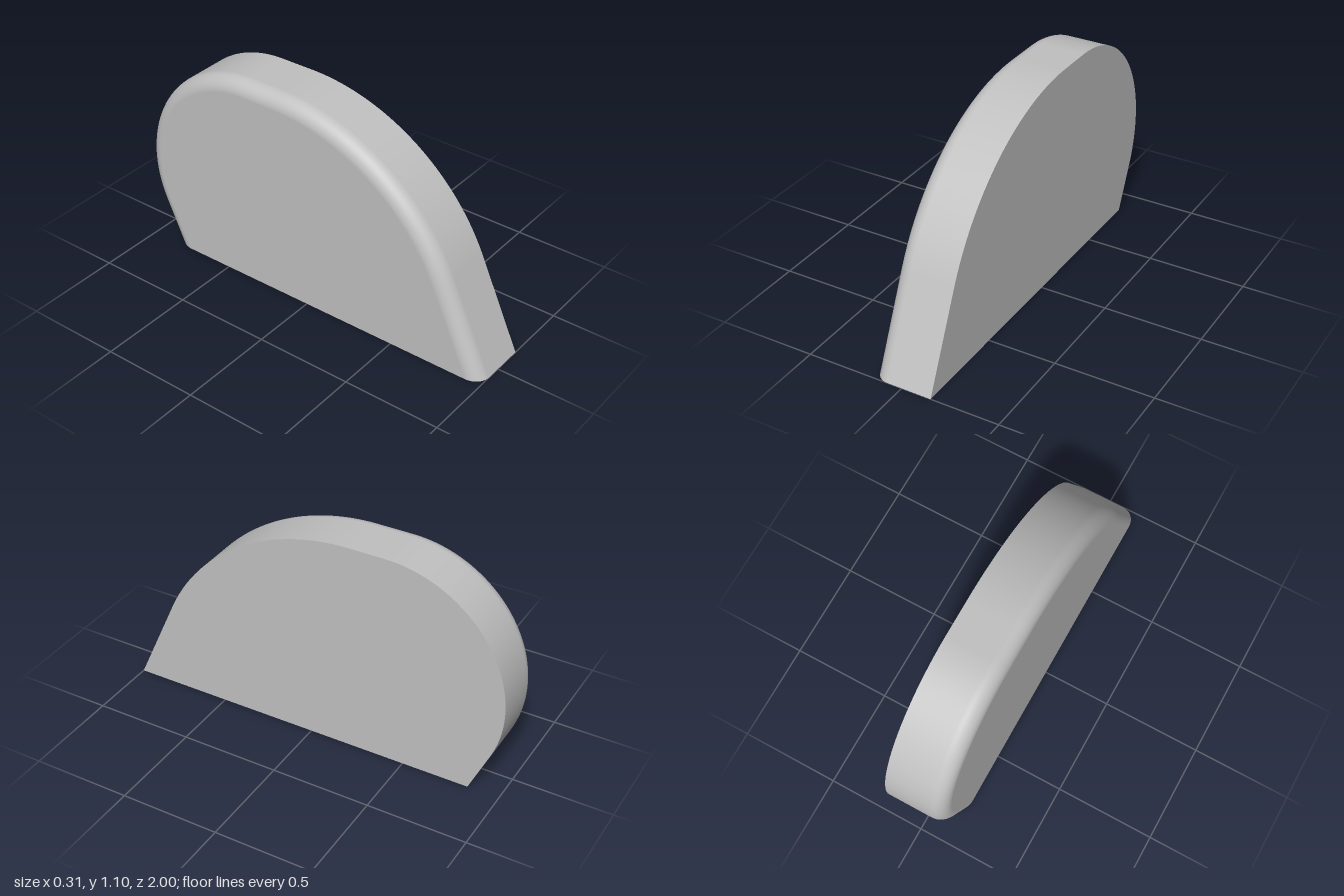
import * as THREE from 'three';

const HALF = 0.153;    // half thickness
const FILLET = 0.076;  // rounded edge on the right side only
const TILT = 0.4276;   // lean of both straight ends
const ARCS = [
  { z: -0.2, y: 0.011, r: 1.087, from: TILT, to: Math.PI / 2 },
  { z: -0.38, y: 0.48, r: 0.618, from: Math.PI / 2, to: Math.PI + TILT },
];

// Outline from front foot over the top to back foot, inset by d
function outline(d) {
  const pts = [], c = Math.cos(TILT), s = Math.sin(TILT);
  pts.push({ z: 1 - d / c, y: 0, nz: c, ny: s });
  for (const a of ARCS) {
    for (let i = 0; i <= 40; i++) {
      const t = a.from + (a.to - a.from) * i / 40;
      const nz = Math.cos(t), ny = Math.sin(t);
      pts.push({ z: a.z + (a.r - d) * nz, y: a.y + (a.r - d) * ny, nz, ny });
    }
  }
  pts.push({ z: -0.84 + d / c, y: 0, nz: -c, ny: -s });
  return pts;
}

function flat(points) {
  return new THREE.ShapeGeometry(new THREE.Shape(points.map(([x, y]) => new THREE.Vector2(x, y))));
}

export function createModel() {
  const group = new THREE.Group();
  const grey = new THREE.MeshStandardMaterial({ color: 0xc0c0c0 });
  const add = (name, geometry) => {
    const mesh = new THREE.Mesh(geometry, grey);
    mesh.name = name;
    group.add(mesh);
  };

  // Cross-sections from the sharp left side to the filleted right side
  const rows = [{ x: HALF, d: 0, t: 0 }];
  for (let i = 0; i <= 12; i++) {
    const t = (Math.PI / 2) * i / 12;
    rows.push({ x: -HALF + FILLET * (1 - Math.sin(t)), d: FILLET * (1 - Math.cos(t)), t });
  }

  // Curved rim with its rounded edge
  const pos = [], nor = [], idx = [];
  const n = outline(0).length;
  rows.forEach((row, i) => {
    outline(row.d).forEach((p, j) => {
      pos.push(row.x, p.y, p.z);
      nor.push(-Math.sin(row.t), p.ny * Math.cos(row.t), p.nz * Math.cos(row.t));
      if (i < rows.length - 1 && j < n - 1) {
        const a = i * n + j, b = a + 1, c = a + n, e = c + 1;
        idx.push(a, b, c, b, e, c);
      }
    });
  });
  const rim = new THREE.BufferGeometry();
  rim.setAttribute('position', new THREE.Float32BufferAttribute(pos, 3));
  rim.setAttribute('normal', new THREE.Float32BufferAttribute(nor, 3));
  rim.setIndex(idx);
  add('rim', rim);

  // Flat side faces
  add('leftFace', flat(outline(0).map(p => [-p.z, p.y])).rotateY(Math.PI / 2).translate(HALF, 0, 0));
  add('rightFace', flat(outline(FILLET).map(p => [p.z, p.y])).rotateY(-Math.PI / 2).translate(-HALF, 0, 0));

  // Flat base, following the rounded corners
  const ends = rows.map(r => ({ x: r.x, pts: outline(r.d) }));
  const front = ends.map(e => [e.x, e.pts[0].z]);
  const back = ends.map(e => [e.x, e.pts[n - 1].z]).reverse();
  add('base', flat([...front, ...back]).rotateX(Math.PI / 2));

  return group;
}
